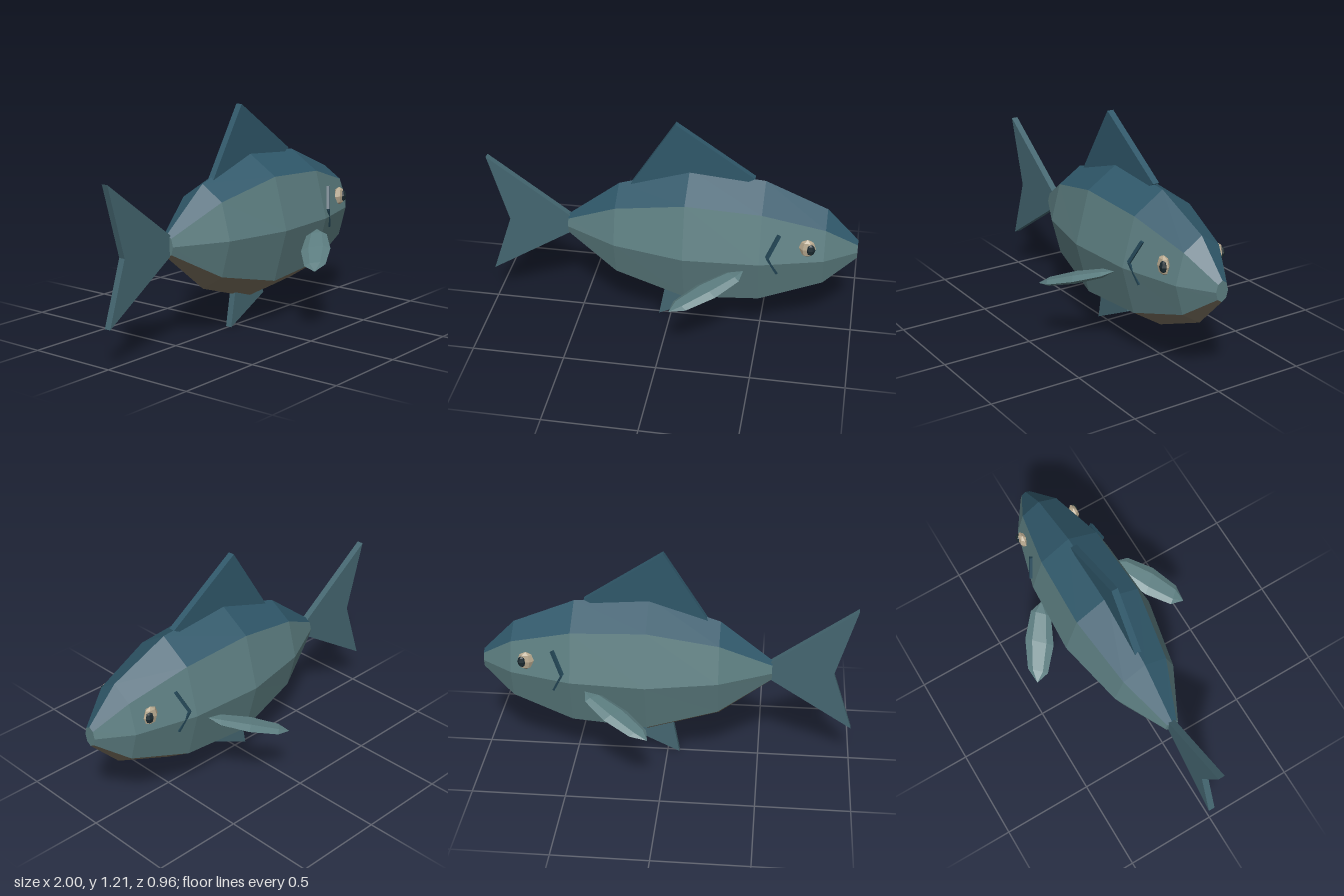
import * as THREE from 'three';

const V = (x, y, z) => new THREE.Vector3(x, y, z);
const paint = (color) => new THREE.MeshStandardMaterial({ color, flatShading: true });

function add(parent, name, geometry, material) {
  const mesh = new THREE.Mesh(geometry, material);
  mesh.name = name;
  parent.add(mesh);
  return mesh;
}

// Body cross-sections: x, half height, half width (octagons around y = 0.54)
const STATIONS = [
  [-0.56, 0.06, 0.04], [-0.28, 0.28, 0.183], [0.1, 0.403, 0.262],
  [0.5, 0.37, 0.24], [0.83, 0.231, 0.15], [1.0, 0.056, 0.036],
];
const MID_Y = 0.54;
const SIDES = 8;

function ringPoint([x, ry, rz], k) {
  const a = (k * Math.PI * 2) / SIDES;
  return V(x, MID_Y + ry * Math.cos(a), rz * Math.sin(a));
}

// Lengthwise strips of the hull, optionally closed at nose and tail
function hullStrips(strips, caps = false) {
  const pts = [];
  for (const k of strips) {
    for (let i = 0; i < STATIONS.length - 1; i++) {
      const a = ringPoint(STATIONS[i], k), b = ringPoint(STATIONS[i + 1], k);
      const c = ringPoint(STATIONS[i + 1], k + 1), d = ringPoint(STATIONS[i], k + 1);
      pts.push(a, d, c, a, c, b);
    }
  }
  if (caps) {
    const tail = STATIONS[0], nose = STATIONS[STATIONS.length - 1];
    for (let k = 0; k < SIDES; k++) {
      pts.push(V(nose[0], MID_Y, 0), ringPoint(nose, k), ringPoint(nose, k + 1));
      pts.push(V(tail[0], MID_Y, 0), ringPoint(tail, k + 1), ringPoint(tail, k));
    }
  }
  const geometry = new THREE.BufferGeometry().setFromPoints(pts);
  geometry.computeVertexNormals();
  return geometry;
}

// Flat fin plate centred on z = 0
function finPlate(outline) {
  const shape = new THREE.Shape(outline.map(([x, y]) => new THREE.Vector2(x, y)));
  const depth = 0.036;
  return new THREE.ExtrudeGeometry(shape, { depth, bevelEnabled: false }).translate(0, 0, -depth / 2);
}

// Thin square rod between two points
function rod(a, b, radius) {
  const dir = b.clone().sub(a);
  const geometry = new THREE.CylinderGeometry(radius, radius, dir.length(), 4);
  geometry.applyQuaternion(new THREE.Quaternion().setFromUnitVectors(V(0, 1, 0), dir.normalize()));
  return geometry.translate((a.x + b.x) / 2, (a.y + b.y) / 2, (a.z + b.z) / 2);
}

// Leaf-shaped side fin: a coarse ball stretched between root and tip
function leafFin(s) {
  const root = V(0.42, 0.493, 0.235 * s), tip = V(0.065, 0.358, 0.472 * s);
  const axis = tip.clone().sub(root).multiplyScalar(0.5);
  const width = V(0.055, 0.006, 0.058 * s);
  const thick = width.clone().cross(axis).normalize().multiplyScalar(0.026);
  const matrix = new THREE.Matrix4().makeBasis(width, axis, thick);
  matrix.setPosition(root.clone().add(tip).multiplyScalar(0.5));
  return new THREE.SphereGeometry(1, 6, 4).applyMatrix4(matrix);
}

export function createModel() {
  const fish = new THREE.Group();
  fish.name = 'fish';
  const back = paint(0x2f5769), flank = paint(0x5c7d80), belly = paint(0x7a705e);
  const fin = paint(0x446670), gill = paint(0x234656);
  const eyeWhite = paint(0xb8a98f), pupilDark = paint(0x1b2a31);

  // Body in three colour bands
  const body = new THREE.Group();
  body.name = 'body';
  fish.add(body);
  add(body, 'back', hullStrips([7, 0]), back);
  add(body, 'flanks', hullStrips([1, 2, 5, 6], true), flank);
  add(body, 'belly', hullStrips([3, 4]), belly);

  // Fins on the centre line
  add(fish, 'tailFin', finPlate([
    [-0.53, 0.58], [-1, 0.92], [-0.89, 0.54], [-1, 0.205], [-0.53, 0.505],
  ]), fin);
  add(fish, 'dorsalFin', finPlate([
    [-0.22, 0.82], [0.025, 1.207], [0.445, 0.925], [0.4, 0.9], [0.1, 0.85],
  ]), back);
  add(fish, 'bellyFin', finPlate([
    [-0.025, 0.22], [-0.065, 0.002], [0.22, 0.14], [0.2, 0.2],
  ]), fin);

  // Mirrored parts on both flanks
  for (const s of [1, -1]) {
    const side = new THREE.Group();
    side.name = s > 0 ? 'frontSide' : 'rearSide';
    fish.add(side);
    add(side, 'pectoralFin', leafFin(s), flank);

    // Eye and pupil
    const eye = add(side, 'eye', new THREE.SphereGeometry(1, 6, 4), eyeWhite);
    eye.scale.set(0.045, 0.052, 0.026);
    eye.position.set(0.742, 0.623, 0.162 * s);
    const pupil = add(side, 'pupil', new THREE.SphereGeometry(1, 6, 4), pupilDark);
    pupil.scale.set(0.025, 0.033, 0.018);
    pupil.position.set(0.76, 0.623, 0.176 * s);

    // Bent gill line
    const bend = V(0.54, 0.582, 0.228 * s);
    add(side, 'upperGill', rod(V(0.595, 0.702, 0.188 * s), bend, 0.012), gill);
    add(side, 'lowerGill', rod(bend, V(0.592, 0.474, 0.201 * s), 0.008), gill);
  }
  return fish;
}
